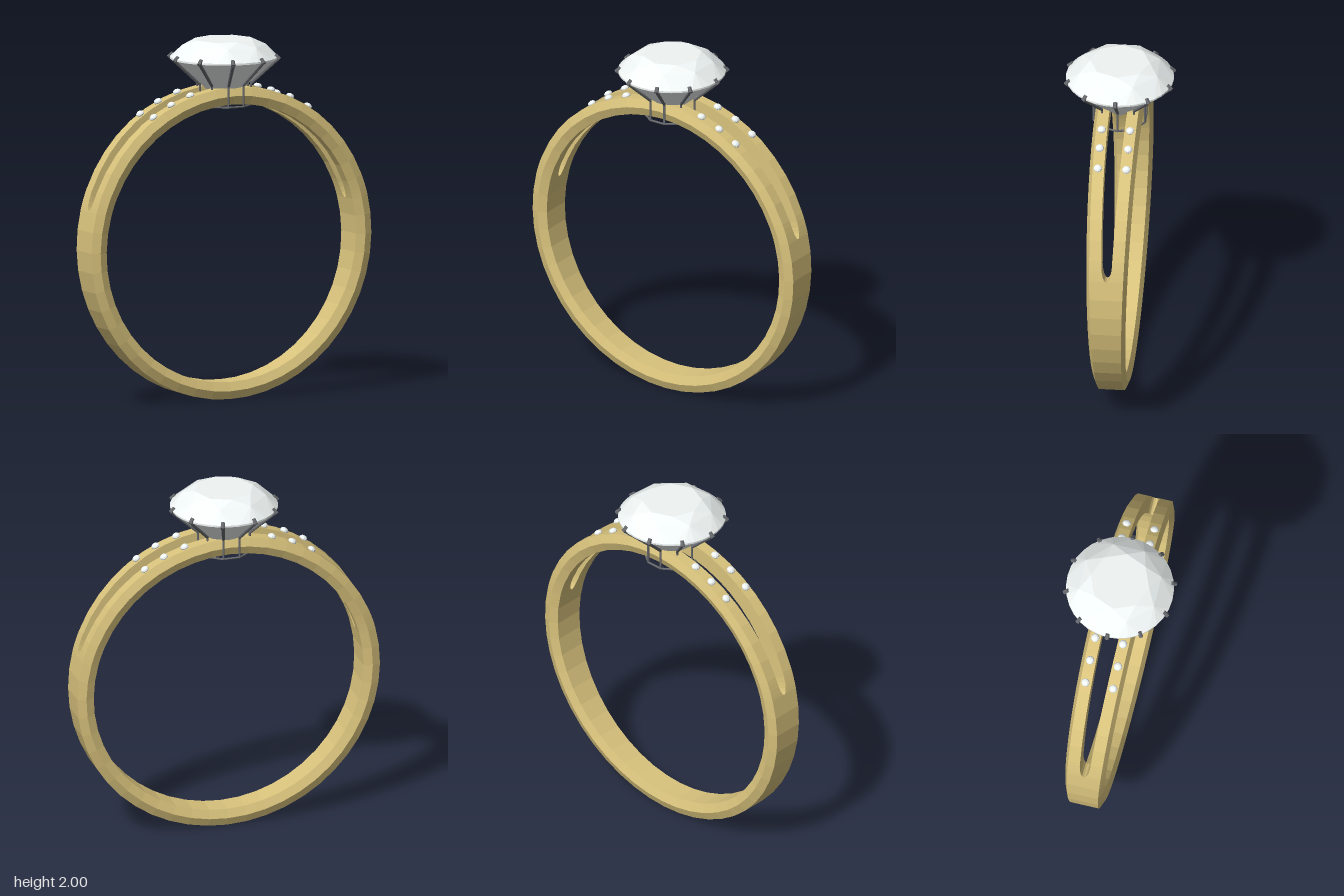
import * as THREE from 'three';
import { ConvexGeometry } from 'three/addons/geometries/ConvexGeometry.js';

const gold = new THREE.MeshStandardMaterial({ color: 0xd8c27c, flatShading: true });
const metal = new THREE.MeshStandardMaterial({ color: 0x66686c, flatShading: true });
const stone = new THREE.MeshStandardMaterial({ color: 0xf0f6f5, flatShading: true });

const CY = 0.872; // centre height of the band
const OUTER = 0.872, RIDGE = 0.825, INNER = 0.777;
const DEG = Math.PI / 180;

// Half-width of the slot at an elevation in degrees: rounded tip, then slowly widening
function slot(e) {
  if (e <= 14.6) return 0;
  const t = Math.min(1, (e - 14.6) / 7.5);
  const wide = 0.03 + 0.019 * Math.max(0, Math.sin(e * DEG) - 0.38) / 0.62;
  return wide * Math.sqrt(1 - (1 - t) ** 2);
}

// One half of the band (front: side = 1, back: side = -1), swept from cross-sections
function railGeometry(side) {
  const angles = [];
  for (let i = 0; i < 48; i++) angles.push(i * 7.5);
  for (const e of [14.6, 15.2, 16.5, 18.5, 20.5]) angles.push(e, 180 - e);
  angles.sort((a, b) => a - b);
  const pos = [], idx = [], n = 5;
  for (const a of angles) {
    const sin = Math.sin(a * DEG), cos = Math.cos(a * DEG);
    const s = slot(Math.asin(sin) / DEG);
    const w = 0.108 + 0.024 * sin;
    let profile = [[OUTER, s], [OUTER, w - 0.02], [RIDGE, w], [INNER, w - 0.02], [INNER, s]];
    if (side < 0) profile = profile.reverse();
    for (const [r, z] of profile) pos.push(r * cos, CY + r * sin, side * z);
  }
  const m = angles.length;
  for (let i = 0; i < m; i++) for (let j = 0; j < n; j++) {
    const i1 = (i + 1) % m, j1 = (j + 1) % n;
    const a = i * n + j, b = i1 * n + j, c = i1 * n + j1, d = i * n + j1;
    idx.push(a, b, c, a, c, d);
  }
  const g = new THREE.BufferGeometry();
  g.setAttribute('position', new THREE.Float32BufferAttribute(pos, 3));
  g.setIndex(idx);
  g.computeVertexNormals();
  return g;
}

// Brilliant cut: octagonal table, crown points, thin girdle, pointed pavilion
function brilliantGeometry() {
  const pts = [new THREE.Vector3(0, 1.64, 0)];
  const ring = (count, r, y, offset) => {
    for (let i = 0; i < count; i++) {
      const a = (i + offset) / count * Math.PI * 2;
      pts.push(new THREE.Vector3(r * Math.sin(a), y, r * Math.cos(a)));
    }
  };
  ring(8, 0.165, 2.0, 0);
  ring(8, 0.232, 1.97, 0.5);
  ring(32, 0.298, 1.903, 0);
  ring(32, 0.298, 1.893, 0);
  return new ConvexGeometry(pts);
}

// Straight round bar between two points
function bar(a, b, r0, r1 = r0) {
  const d = b.clone().sub(a);
  const mesh = new THREE.Mesh(new THREE.CylinderGeometry(r1, r0, d.length(), 6), metal);
  mesh.position.copy(a).addScaledVector(d, 0.5);
  mesh.quaternion.setFromUnitVectors(new THREE.Vector3(0, 1, 0), d.normalize());
  return mesh;
}

export function createModel() {
  const model = new THREE.Group();
  model.name = 'ring';
  const add = (name, mesh, parent = model) => {
    mesh.name = name;
    parent.add(mesh);
    return mesh;
  };

  // Split band
  add('frontBandHalf', new THREE.Mesh(railGeometry(1), gold));
  add('backBandHalf', new THREE.Mesh(railGeometry(-1), gold));

  // Centre stone
  add('centreStone', new THREE.Mesh(brilliantGeometry(), stone));

  // Basket: ten bent prongs joined by a ten-sided base ring
  const basket = add('basket', new THREE.Group());
  const at = (i, r, y) => {
    const a = i * 36 * DEG;
    return new THREE.Vector3(r * Math.cos(a), y, r * Math.sin(a));
  };
  for (let i = 0; i < 10; i++) {
    const prong = add('prong', new THREE.Group(), basket);
    add('prongPost', bar(at(i, 0.15, 1.635), at(i, 0.15, 1.765), 0.006), prong);
    add('prongArm', bar(at(i, 0.15, 1.755), at(i, 0.302, 1.897), 0.008, 0.011), prong);
    add('prongTip', bar(at(i, 0.308, 1.892), at(i, 0.285, 1.917), 0.013, 0.011), prong);
    add('baseRingSide', bar(at(i, 0.15, 1.637), at(i + 1, 0.15, 1.637), 0.006), basket);
  }

  // Accent stones along both shoulders
  const accent = new THREE.SphereGeometry(0.024, 10, 6);
  accent.scale(1, 0.7, 1);
  for (const sx of [-1, 1]) for (const sz of [-1, 1]) for (const a of [16.7, 25, 33.3]) {
    const gem = add('accentStone', new THREE.Mesh(accent, stone));
    const t = sx * a * DEG, r = 0.876;
    gem.position.set(r * Math.sin(t), CY + r * Math.cos(t), sz * 0.079);
    gem.rotation.z = -t;
  }
  return model;
}
